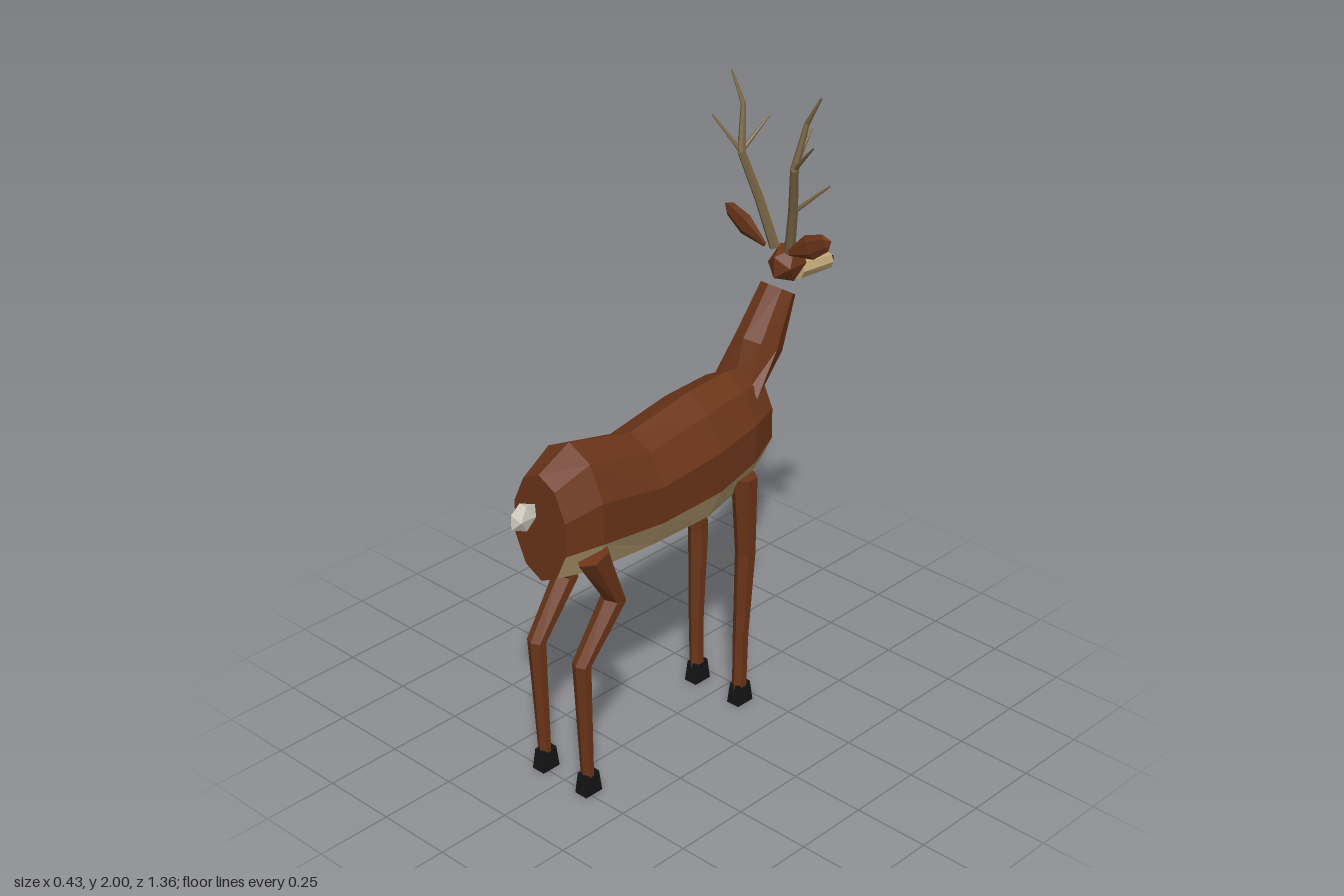
import * as THREE from 'three';

const mat = (color) => new THREE.MeshStandardMaterial({ color, flatShading: true });
const coat = mat(0x6b3519), cream = mat(0xc4aa7c), horn = mat(0x7a6645);
const black = mat(0x141414), white = mat(0xcfc8bc);

// Ring: [x, y, z, halfWidthX, halfDepth, tilt]; tilt 0 is level, PI/2 is upright.
function loft(rings, sides, keep = () => true, caps = true) {
  const corner = ([x, y, z, rx, rv, t], j) => {
    const a = (j / sides) * Math.PI * 2, c = Math.cos(a) * rv;
    return [x + Math.sin(a) * rx, y + c * Math.sin(t), z + c * Math.cos(t)];
  };
  const [a, b] = rings, pos = [];
  const flip = (b[1] - a[1]) * Math.cos(a[5]) - (b[2] - a[2]) * Math.sin(a[5]) < 0;
  const tri = (p, q, r) => pos.push(...p, ...(flip ? r : q), ...(flip ? q : r));
  for (let i = 0; i < rings.length - 1; i++) {
    for (let j = 0; j < sides; j++) {
      if (!keep(j)) continue;
      const p = corner(rings[i], j), q = corner(rings[i], j + 1);
      const r = corner(rings[i + 1], j + 1), s = corner(rings[i + 1], j);
      tri(p, q, r);
      tri(p, r, s);
    }
  }
  if (caps) {
    const last = rings[rings.length - 1];
    for (let j = 0; j < sides; j++) {
      tri(a.slice(0, 3), corner(a, j + 1), corner(a, j));
      tri(last.slice(0, 3), corner(last, j), corner(last, j + 1));
    }
  }
  const g = new THREE.BufferGeometry();
  g.setAttribute('position', new THREE.Float32BufferAttribute(pos, 3));
  g.computeVertexNormals();
  return g;
}

// Tapered stick between two points
function stick(p, q, r0, r1) {
  const a = new THREE.Vector3(...p), b = new THREE.Vector3(...q), d = b.clone().sub(a);
  const g = new THREE.CylinderGeometry(r1, r0, d.length(), 6);
  g.applyQuaternion(new THREE.Quaternion().setFromUnitVectors(new THREE.Vector3(0, 1, 0), d.normalize()));
  const m = a.add(b).multiplyScalar(0.5);
  return g.translate(m.x, m.y, m.z);
}

export function createModel() {
  const root = new THREE.Group();
  const add = (name, geometry, material, parent = root) => {
    const m = new THREE.Mesh(geometry, material);
    m.name = name;
    parent.add(m);
    return m;
  };
  const up = Math.PI / 2;

  // Barrel of the body: ten-sided, the four lowest faces are the pale belly
  const barrel = [
    [0, 0.915, 0.572, 0.11, 0.175, up],
    [0, 0.932, 0.45, 0.145, 0.217, up],
    [0, 0.893, 0.2, 0.144, 0.193, up],
    [0, 0.911, -0.04, 0.152, 0.216, up],
    [0, 0.937, -0.21, 0.137, 0.2, up],
    [0, 0.96, -0.312, 0.108, 0.162, up],
  ];
  const isBelly = (j) => j >= 3 && j <= 6;
  add('body', loft(barrel, 10, (j) => !isBelly(j)), coat);
  add('belly', loft(barrel, 10, isBelly, false), cream);

  // Neck
  add('neck', loft([
    [0, 1.06, -0.25, 0.095, 0.05, 1.7],
    [0, 1.183, -0.36, 0.075, 0.08, 0.5],
    [0, 1.338, -0.445, 0.06, 0.053, 0.55],
  ], 8), coat);

  // Head, muzzle and nose
  add('head', new THREE.IcosahedronGeometry(1, 0).scale(0.053, 0.065, 0.072).translate(0, 1.411, -0.485), coat);
  add('muzzle', loft([
    [0, 1.381, -0.515, 0.044, 0.036, up],
    [0, 1.361, -0.67, 0.03, 0.03, up],
  ], 8), cream);
  add('nose', new THREE.BoxGeometry(0.036, 0.026, 0.02).translate(0, 1.362, -0.672), black);

  // Tail
  add('tail', new THREE.IcosahedronGeometry(1, 0).scale(0.027, 0.047, 0.055).translate(0, 0.978, 0.636), white);

  for (const s of [1, -1]) {
    const side = s > 0 ? 'left' : 'right';

    // Eye
    add(side + 'Eye', new THREE.SphereGeometry(0.011, 8, 6).translate(s * 0.05, 1.434, -0.528), black);

    // Leaf-shaped ear
    const profile = [[0, 0], [0.009, 0], [0.039, 0.09], [0.027, 0.162], [0, 0.188]];
    const ear = add(side + 'Ear', new THREE.LatheGeometry(profile.map((p) => new THREE.Vector2(...p)), 6, up)
      .scale(1, 1, 0.3), coat);
    ear.position.set(s * 0.048, 1.47, -0.435);
    ear.rotation.z = -s * 1.08;

    // Antler: main beam and three tines
    const antler = new THREE.Group();
    antler.name = side + 'Antler';
    root.add(antler);
    const beam = [[0.03, 1.46, -0.46], [0.066, 1.61, -0.43], [0.105, 1.77, -0.387], [0.125, 1.91, -0.415], [0.175, 2, -0.418]];
    const radii = [0.017, 0.015, 0.013, 0.008, 0.003];
    const at = (p) => [s * p[0], p[1], p[2]];
    for (let i = 0; i < 4; i++) add('beam', stick(at(beam[i]), at(beam[i + 1]), radii[i], radii[i + 1]), horn, antler);
    for (const [from, tip] of [
      [beam[1], [0.17, 1.71, -0.475]],
      [beam[2], [0.2, 1.87, -0.36]],
      [beam[2], [0.083, 1.865, -0.487]],
    ]) add('tine', stick(at(from), at(tip), 0.008, 0.003), horn, antler);

    // Legs
    add(side + 'FrontLeg', loft([
      [s * 0.11, 0.83, -0.18, 0.04, 0.044, 0],
      [s * 0.1, 0.55, -0.2, 0.033, 0.032, 0],
      [s * 0.096, 0.25, -0.188, 0.026, 0.023, 0],
      [s * 0.093, 0.05, -0.188, 0.022, 0.025, 0],
    ], 6), coat);
    add(side + 'HindLeg', loft([
      [s * 0.115, 0.835, 0.475, 0.045, 0.058, -0.35],
      [s * 0.1, 0.64, 0.378, 0.04, 0.038, 0.2],
      [s * 0.096, 0.465, 0.51, 0.032, 0.026, 0.1],
      [s * 0.093, 0.05, 0.492, 0.022, 0.018, 0],
    ], 6), coat);

    // Hooves, four-sided and slightly tapered
    for (const [name, z] of [['FrontHoof', -0.192], ['HindHoof', 0.488]]) {
      const hoof = new THREE.CylinderGeometry(0.78, 1, 0.07, 4).rotateY(Math.PI / 4);
      add(side + name, hoof.scale(0.034, 1, 0.048).translate(s * 0.093, 0.035, z), black);
    }
  }
  return root;
}
